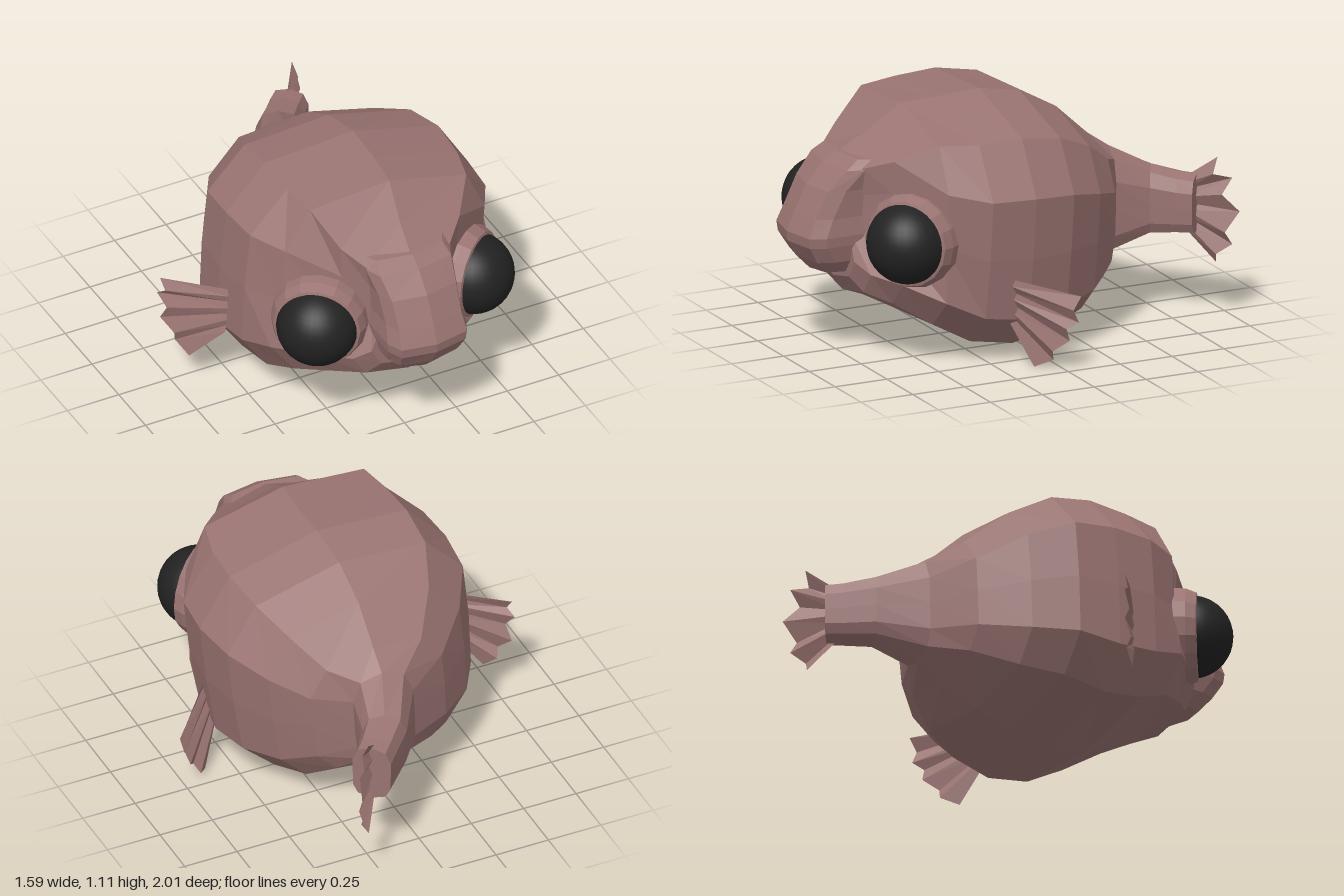
import * as THREE from 'three';

const skin = new THREE.MeshStandardMaterial({ color: 0x9a7472, flatShading: true });
skin.name = 'dusty pink skin';
const finSkin = new THREE.MeshStandardMaterial({ color: 0x9a7472, flatShading: true, side: THREE.DoubleSide });
finSkin.name = 'dusty pink fin';
const black = new THREE.MeshStandardMaterial({ color: 0x222222 });
black.name = 'eye black';

function addMesh(parent, name, geometry, material) {
  const mesh = new THREE.Mesh(geometry, material);
  mesh.name = name;
  parent.add(mesh);
  return mesh;
}

function fromTriangles(points) {
  const g = new THREE.BufferGeometry().setFromPoints(points);
  g.computeVertexNormals();
  return g;
}

// Skin over closed rings of points, capped at both ends
function loft(rings) {
  const out = [];
  const n = rings[0].length;
  for (let i = 0; i < rings.length - 1; i++) {
    for (let j = 0; j < n; j++) {
      const k = (j + 1) % n;
      const a = rings[i][j], b = rings[i][k], c = rings[i + 1][j], d = rings[i + 1][k];
      out.push(a, c, b, b, c, d);
    }
  }
  const cap = (ring, flip) => {
    const mid = ring.reduce((s, p) => s.add(p), new THREE.Vector3()).divideScalar(n);
    ring.forEach((p, j) => {
      const q = ring[(j + 1) % n];
      out.push(mid, flip ? q : p, flip ? p : q);
    });
  };
  cap(rings[0], false);
  cap(rings[rings.length - 1], true);
  return fromTriangles(out);
}

// Half of the body section, from the top round to the belly
const SECTION = [[0, 1], [0.72, 0.87], [1, 0.47], [1, -0.05], [0.97, -0.57], [0.73, -0.87], [0, -1]];

// z, centre x, half width, top, bottom, roll, yaw (degrees), pinch at eye height
const BODY = [
  [-0.855, 0.275, 0.085, 0.65, 0.385, 0, 40, 1],
  [-0.80, 0.225, 0.085, 0.655, 0.38, 0, 38, 1],
  [-0.70, 0.14, 0.095, 0.68, 0.37, 0, 28, 1],
  [-0.53, 0.06, 0.135, 0.77, 0.295, -3, 10, 1],
  [-0.43, 0.04, 0.31, 0.84, 0.22, -5, 2, 1],
  [-0.28, 0.02, 0.46, 0.98, 0.11, -6, 0, 1],
  [-0.10, 0.02, 0.565, 1.08, 0.06, -6, 0, 1],
  [0.10, 0.03, 0.59, 1.12, 0.025, -6, 0, 1],
  [0.30, 0.03, 0.575, 1.11, 0.06, -6, 0, 1],
  [0.47, 0.03, 0.53, 1.10, 0.15, -5, 0, 0.92],
  [0.63, 0.03, 0.40, 0.98, 0.24, -2, 0, 0.7],
  [0.73, 0.03, 0.28, 0.92, 0.28, 0, 0, 0.62],
  [0.775, 0.03, 0.21, 0.88, 0.35, 0, 0, 0.7],
];

function bodyRing([z, cx, hw, top, bottom, roll, yaw, pinch]) {
  const r = THREE.MathUtils.degToRad(roll), w = THREE.MathUtils.degToRad(yaw);
  const half = SECTION.map(([u, v], i) => [u * hw * (i === 2 || i === 3 ? pinch : 1), v]);
  const mirrored = half.slice(1, -1).reverse().map(([u, v]) => [-u, v]);
  const cy = (top + bottom) / 2, h = (top - bottom) / 2;
  return half.concat(mirrored).map(([u, v]) => {
    const x = u * Math.cos(r) - v * h * Math.sin(r);
    const y = u * Math.sin(r) + v * h * Math.cos(r);
    return new THREE.Vector3(cx + x * Math.cos(w), cy + y, z + x * Math.sin(w));
  });
}

// Drooping nose: y, back z, front z, half width
const NOSE = [
  [0.91, 0.66, 0.765, 0.19], [0.87, 0.66, 0.825, 0.205], [0.78, 0.64, 0.905, 0.185],
  [0.66, 0.64, 0.965, 0.18], [0.58, 0.64, 1.0, 0.19], [0.535, 0.64, 0.995, 0.185],
  [0.46, 0.66, 0.95, 0.165], [0.40, 0.70, 0.89, 0.12],
];

function noseRing([y, back, front, hw]) {
  const edge = Math.max(back + 0.02, front - 0.1);
  return [[-1, back], [-1, edge], [-0.84, front - 0.03], [0, front],
    [0.84, front - 0.03], [1, edge], [1, back]]
    .map(([u, z]) => new THREE.Vector3(0.03 + u * hw, y, z));
}

// Pleated fan between a short root edge and a ragged tip edge
function fan(rootA, rootB, tips, pleat) {
  const out = [];
  const row = tips.map((tip, i) => {
    const side = i % 2 ? 1 : -1;
    const root = rootA.clone().lerp(rootB, i / (tips.length - 1)).addScaledVector(pleat, side * 0.4);
    return [root, tip.clone().addScaledVector(pleat, side)];
  });
  for (let i = 0; i < row.length - 1; i++) {
    const [a, b] = row[i], [c, d] = row[i + 1];
    out.push(a, b, c, c, b, d);
  }
  return fromTriangles(out);
}

export function createModel() {
  const fish = new THREE.Group();
  fish.name = 'fish';
  const V = (x, y, z) => new THREE.Vector3(x, y, z);

  addMesh(fish, 'body', loft(BODY.map(bodyRing)), skin);
  addMesh(fish, 'nose', loft(NOSE.map(noseRing)), skin);

  // Bulging eyes in raised sockets
  const rim = [[0.17, -0.2], [0.2, -0.13], [0.215, -0.07], [0.21, -0.02], [0.192, 0.025], [0.174, 0.03], [0.165, -0.02]]
    .map(([r, a]) => new THREE.Vector2(r, a));
  for (const [name, side, x, z] of [['left', 1, 0.41, 0.605], ['right', -1, -0.36, 0.63]]) {
    const eye = new THREE.Group();
    eye.name = name + 'Eye';
    eye.position.set(x, 0.577, z);
    eye.rotation.y = side * 0.665;
    const socket = addMesh(eye, 'socket', new THREE.LatheGeometry(rim, 16), skin);
    socket.rotation.x = Math.PI / 2;
    addMesh(eye, 'eyeball', new THREE.SphereGeometry(0.18, 32, 20), black);
    fish.add(eye);
  }

  // Side fins, swept back
  const leftTips = [[0.8, 0.35], [0.78, 0.29], [0.79, 0.23], [0.75, 0.2], [0.75, 0.14], [0.69, 0.09], [0.68, 0.04], [0.61, 0.005]];
  const rightTips = [[0.79, 0.54], [0.77, 0.49], [0.8, 0.46], [0.765, 0.4], [0.79, 0.33], [0.74, 0.27], [0.74, 0.22], [0.69, 0.16]];
  const sweep = (x) => 0.17 - (x - 0.57) * 0.87;
  addMesh(fish, 'leftFin', fan(V(0.59, 0.4, 0.19), V(0.53, 0.19, 0.17),
    leftTips.map(([x, y]) => V(x, y, sweep(x) - (0.8 - x) * 0.25)), V(0.009, 0, 0.012)), finSkin);
  addMesh(fish, 'rightFin', fan(V(-0.55, 0.53, 0.18), V(-0.57, 0.31, 0.17),
    rightTips.map(([x, y]) => V(-x, y, sweep(x))), V(-0.006, 0, 0.008)), finSkin);

  // Tail fin, following the bent tail: z, y of each tip
  const tailTips = [[-0.92, 0.73], [-0.91, 0.66], [-0.97, 0.64], [-0.94, 0.57], [-0.995, 0.49],
    [-0.95, 0.4], [-0.97, 0.34], [-0.92, 0.3], [-0.915, 0.255]];
  addMesh(fish, 'tailFin', fan(V(0.25, 0.64, -0.82), V(0.25, 0.39, -0.82),
    tailTips.map(([z, y]) => V(0.27 - (z + 0.84) * 0.85, y, z)), V(0.012, 0, 0.01)), finSkin);

  return fish;
}
